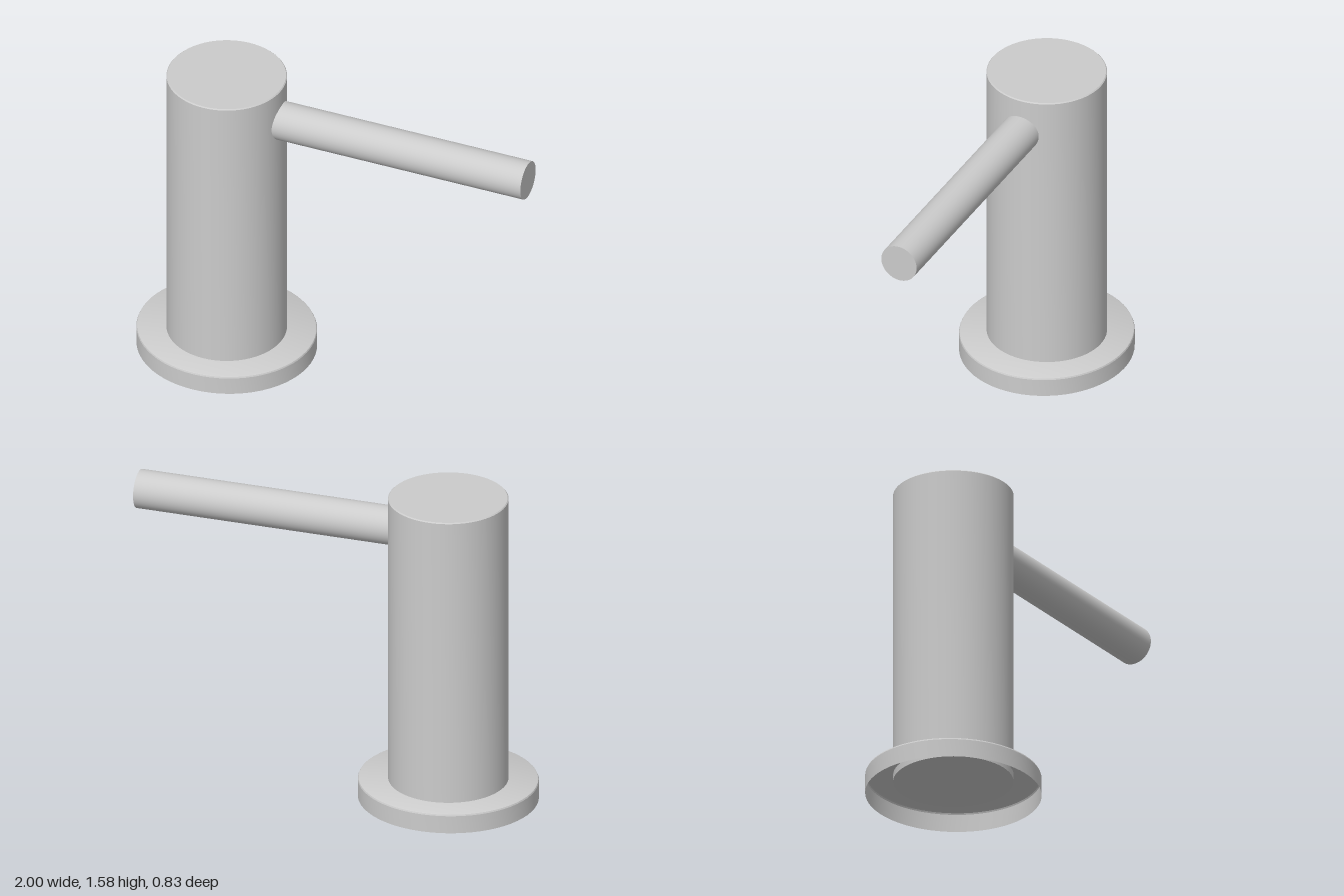
import * as THREE from 'three';
import { toCreasedNormals } from 'three/addons/utils/BufferGeometryUtils.js';

const AXIS_X = -0.564;
const material = new THREE.MeshStandardMaterial({ color: 0xcccccc });
const shellMaterial = new THREE.MeshStandardMaterial({ color: 0xcccccc, side: THREE.DoubleSide });

// Turned part with smooth sides and crisp rims
function turned(name, profile, mat) {
  const points = profile.map(([r, y]) => new THREE.Vector2(r, y));
  const geometry = toCreasedNormals(new THREE.LatheGeometry(points, 64), 0.5);
  const mesh = new THREE.Mesh(geometry, mat);
  mesh.name = name;
  return mesh;
}

export function createModel() {
  const group = new THREE.Group();
  group.name = 'leverTap';

  // Base flange: thin cap, open underneath, slightly oval
  const flange = turned('baseFlange', [
    [1, 0], [1, 0.09], [0.993, 0.097], [0.98, 0.1], [0, 0.1],
  ], shellMaterial);
  flange.scale.set(0.436, 1, 0.417);
  flange.position.x = AXIS_X;
  group.add(flange);

  // Upright body, reaching a little below the top of the flange
  const body = turned('body', [
    [0, 0.065], [0.289, 0.065], [0.289, 1.575], [0.284, 1.58], [0, 1.58],
  ], material);
  body.position.x = AXIS_X;
  group.add(body);

  // Horizontal lever rod, sunk into the body
  const start = -0.4, end = 1;
  const lever = new THREE.Mesh(new THREE.CylinderGeometry(0.095, 0.095, end - start, 48), material);
  lever.name = 'lever';
  lever.rotation.z = -Math.PI / 2;
  lever.position.set((start + end) / 2, 1.39, 0);
  group.add(lever);

  return group;
}
